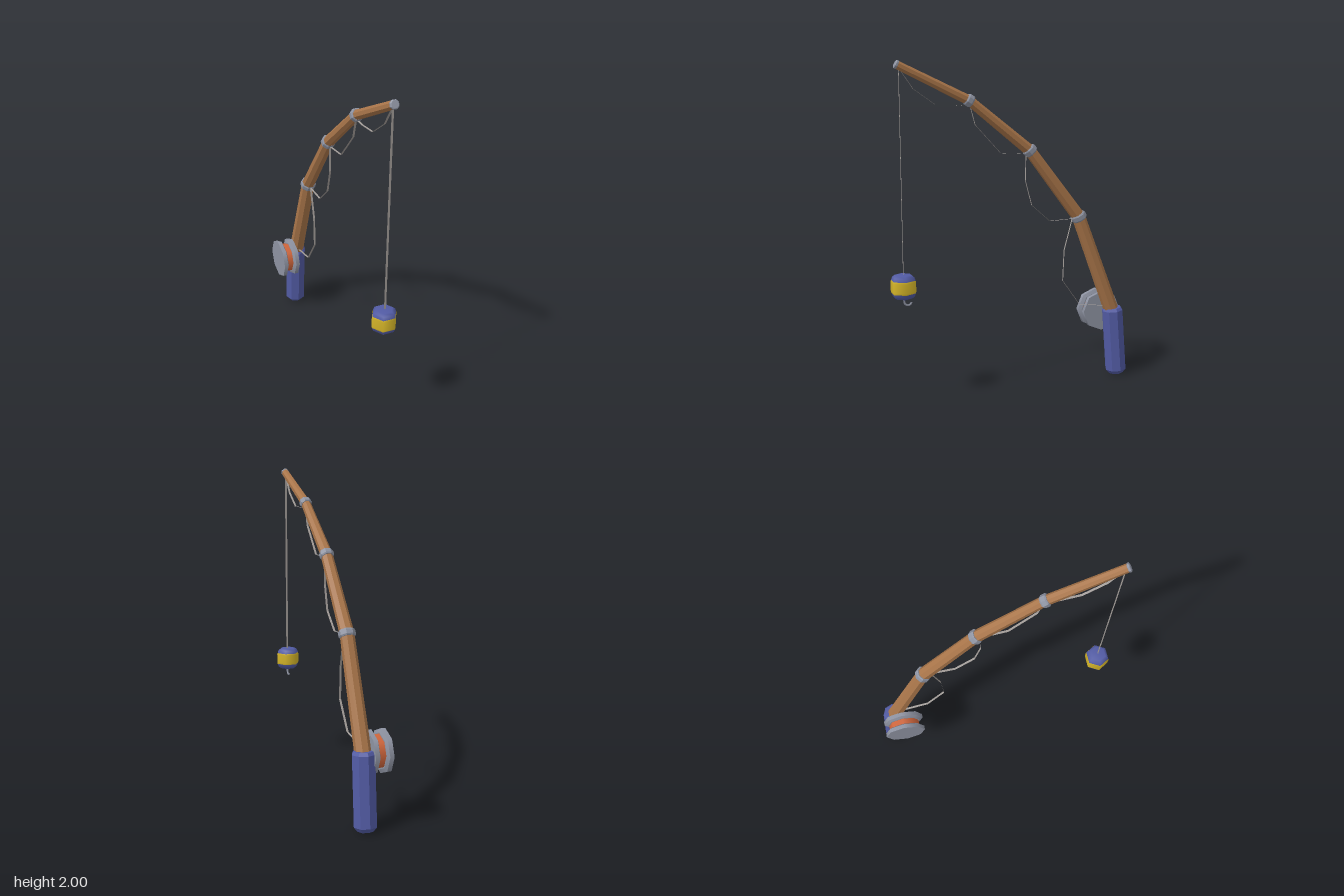
import * as THREE from 'three';
import { mergeGeometries } from 'three/addons/utils/BufferGeometryUtils.js';

const CX = 0.038; // centre plane of rod, handle and line

const mat = (name, color, extra = {}) => {
  const m = new THREE.MeshStandardMaterial({ color, ...extra });
  m.name = name;
  return m;
};

const lathe = (points, sides, phase) =>
  new THREE.LatheGeometry(points.map(p => new THREE.Vector2(...p)), sides, phase);

// Faceted solid of revolution from [radius, height] points
function facetedLathe(points, sides, phase = 0) {
  const g = lathe(points, sides, phase).toNonIndexed();
  g.computeVertexNormals();
  return g;
}

// Smooth around the axis, creased at each profile point
function roundLathe(points, sides, phase = 0) {
  return mergeGeometries(points.slice(1).map((p, i) => lathe([points[i], p], sides, phase)));
}

// Flat ribbon, wide along x, following [y, z] points
function ribbon(points, width) {
  const pos = [], index = [];
  points.forEach(([y, z], i) => {
    pos.push(-width / 2, y, z, width / 2, y, z);
    if (i) {
      const a = 2 * i - 2;
      index.push(a, a + 1, a + 2, a + 1, a + 3, a + 2);
    }
  });
  const g = new THREE.BufferGeometry();
  g.setAttribute('position', new THREE.Float32BufferAttribute(pos, 3));
  g.setIndex(index);
  const flat = g.toNonIndexed();
  flat.computeVertexNormals();
  return flat;
}

export function createModel() {
  const group = new THREE.Group();
  const wood = mat('wood', 0xaa764a);
  const blue = mat('blue', 0x525ba4);
  const metal = mat('metal', 0x8e93a2);
  const yellow = mat('yellow', 0xd6b629);
  const orange = mat('orange', 0xcf663c);
  const lineGrey = mat('lineGrey', 0xa09a96, { side: THREE.DoubleSide });

  const add = (name, geometry, material, x = 0, y = 0, z = 0) => {
    const mesh = new THREE.Mesh(geometry, material);
    mesh.name = name;
    mesh.position.set(x, y, z);
    group.add(mesh);
    return mesh;
  };

  // Octagonal handle, leaning slightly forward
  const handle = add('handle', facetedLathe(
    [[0, 0], [0.048, 0], [0.069, 0.026], [0.069, 0.428], [0.058, 0.446], [0, 0.446]], 8),
    blue, CX, 0.005, -0.705);
  handle.rotation.x = 0.083;

  // Bent, tapering octagonal rod: [y, z, radius] at each joint
  const joints = [
    [0.42, -0.666, 0.048], [1.058, -0.417, 0.042], [1.48, -0.085, 0.036],
    [1.78, 0.297, 0.03], [1.98, 0.723, 0.0245],
  ];
  const angles = [];
  for (let i = 0; i < 4; i++) {
    const [y0, z0, r0] = joints[i], [y1, z1, r1] = joints[i + 1];
    const length = Math.hypot(y1 - y0, z1 - z0);
    angles.push(Math.atan2(z1 - z0, y1 - y0));
    const section = add('rodSection' + (i + 1),
      facetedLathe([[0, -length / 2], [r0, -length / 2], [r1, length / 2], [0, length / 2]], 8, Math.PI / 8),
      wood, CX, (y0 + y1) / 2, (z0 + z1) / 2);
    section.rotation.x = angles[i];
  }

  // Metal rings on the joints and a cap on the tip
  for (let i = 1; i <= 4; i++) {
    const [y, z, r] = joints[i];
    const tip = i === 4, R = r + (tip ? 0.002 : 0.008), h = tip ? 0.009 : 0.021;
    const ring = add(tip ? 'tipCap' : 'ring' + i,
      facetedLathe([[0, -h], [R - 0.005, -h], [R, -h * 0.6], [R, h * 0.6], [R - 0.005, h], [0, h]], 8, Math.PI / 8),
      metal, CX, y, z);
    ring.rotation.x = tip ? angles[3] : (angles[i - 1] + angles[i]) / 2;
  }

  // Reel: two bevelled flanges and a drum between them
  const flange = [[0, -0.018], [0.108, -0.018], [0.13, -0.008], [0.13, 0.018], [0, 0.018]];
  const outer = add('reelOuterFlange', roundLathe(flange, 8), metal, -0.096, 0.42, -0.615);
  const inner = add('reelInnerFlange', roundLathe(flange, 8), metal, -0.022, 0.42, -0.615);
  const drum = add('reelDrum', roundLathe([[0.1, -0.03], [0.1, 0.03]], 8), orange, -0.059, 0.42, -0.615);
  outer.rotation.z = drum.rotation.z = Math.PI / 2;
  inner.rotation.z = -Math.PI / 2;

  // Hexagonal float with blue ends and a yellow band
  const floatParts = [
    ['floatBand', yellow, [[0.074, -0.038], [0.077, -0.028], [0.077, 0.028], [0.074, 0.038]]],
    ['floatTop', blue, [[0.074, 0.038], [0.067, 0.058], [0.05, 0.07], [0, 0.07]]],
    ['floatBottom', blue, [[0, -0.07], [0.05, -0.07], [0.067, -0.058], [0.074, -0.038]]],
  ];
  for (const [name, material, profile] of floatParts) {
    add(name, lathe(profile, 6, Math.PI / 6), material, 0.034, 0.71, 0.71);
  }

  // Hook below the float
  const hookPath = new THREE.CatmullRomCurve3([
    [0.645, 0.708], [0.618, 0.708], [0.602, 0.7], [0.597, 0.685], [0.602, 0.671], [0.615, 0.664],
  ].map(([y, z]) => new THREE.Vector3(0, y, z)));
  add('hook', new THREE.TubeGeometry(hookPath, 12, 0.006, 5), metal, CX);

  // Line: hanging drop, then slack loops from ring to ring down to the handle
  const loops = [
    [[1.975, 0.71], [0.775, 0.71]],
    [[1.97, 0.715], [1.847, 0.63], [1.757, 0.5], [1.75, 0.378], [1.757, 0.294]],
    [[1.757, 0.294], [1.64, 0.262], [1.47, 0.103], [1.46, -0.06]],
    [[1.46, -0.06], [1.3, -0.056], [1.148, -0.098], [1.042, -0.22], [1.048, -0.373]],
    [[1.048, -0.373], [0.852, -0.32], [0.656, -0.312], [0.492, -0.431], [0.465, -0.61]],
  ];
  loops.forEach((loop, i) => add(i ? 'slackLine' + i : 'hangingLine', ribbon(loop, 0.013), lineGrey, CX));

  return group;
}
